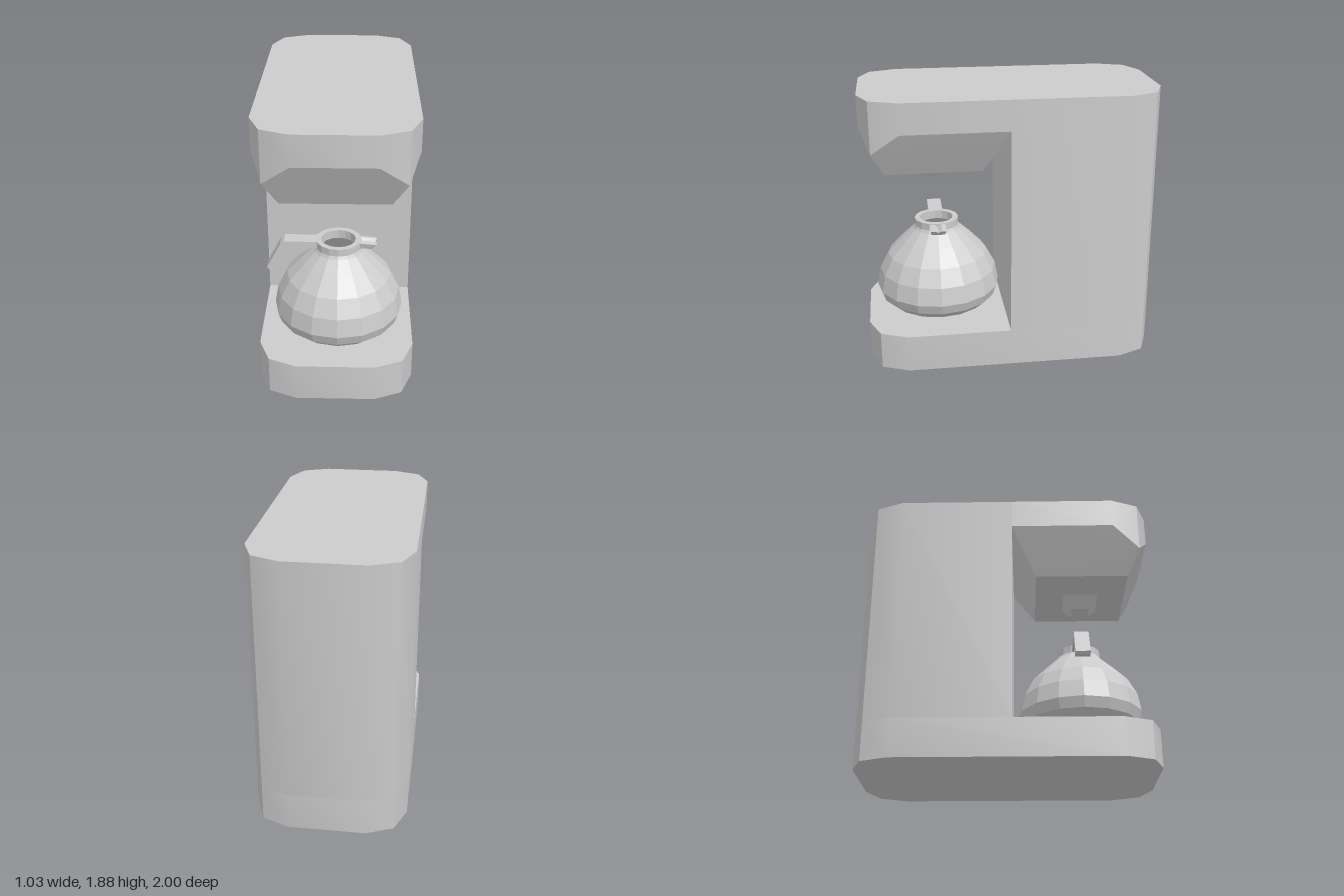
import * as THREE from 'three';
import { toCreasedNormals } from 'three/addons/utils/BufferGeometryUtils.js';
import { ConvexGeometry } from 'three/addons/geometries/ConvexGeometry.js';

const CREASE = 0.45;
const HW = 0.515;      // half width of the body
const COLUMN_Z = 0.035; // front plane of the column

export function createModel() {
  const model = new THREE.Group();
  model.name = 'coffeeMaker';
  const smooth = new THREE.MeshStandardMaterial({ color: 0xcccccc });
  const flat = new THREE.MeshStandardMaterial({ color: 0xcccccc, flatShading: true });
  const add = (parent, name, geometry, material) => {
    const mesh = new THREE.Mesh(geometry, material);
    mesh.name = name;
    parent.add(mesh);
    return mesh;
  };

  // Upright prism from a plan outline of [x, z] points
  const prism = (outline, y0, y1) => {
    const shape = new THREE.Shape(outline.map(([x, z]) => new THREE.Vector2(x, -z)));
    const g = new THREE.ExtrudeGeometry(shape, { depth: y1 - y0, bevelEnabled: false });
    g.rotateX(-Math.PI / 2).translate(0, y0, 0);
    return toCreasedNormals(g, CREASE);
  };
  // Convex solid mirrored in x from right-half points
  const mirroredHull = (points) => new ConvexGeometry(points.flatMap(([x, y, z]) =>
    [new THREE.Vector3(x, y, z), new THREE.Vector3(-x, y, z)]));
  // Rectangular tapered block: [halfWidth, y, zBack, zFront] at top and bottom
  const taper = (...levels) => mirroredHull(levels.flatMap(([x, y, z0, z1]) =>
    [[x, y, z0], [x, y, z1]]));

  // Body: chamfered base and rear column
  const corner = [[HW, 0.74], [0.44, 0.925], [0.26, 1]];
  const frontEnd = [...corner, ...corner.map(([x, z]) => [-x, z]).reverse()];
  const backEnd = frontEnd.map(([x, z]) => [-x, -z]);
  add(model, 'base', prism([...frontEnd, ...backEnd], 0, 0.26), smooth);
  add(model, 'column', prism([[HW, COLUMN_Z], [-HW, COLUMN_Z], ...backEnd], 0.26, 1.885), smooth);

  // Brewing head: chamfered block cut by four sloping planes
  const head = mirroredHull([
    ...[[HW, COLUMN_Z], ...corner].map(([x, z]) => [x, 1.885, z]),
    [HW, 1.68, COLUMN_Z], [HW, 1.68, 0.74], [0.44, 1.537, 0.925], [0.26, 1.68, 1],
    [0.345, 1.37, 0.2], [0.345, 1.37, 0.845],
  ]);
  add(model, 'brewingHead', toCreasedNormals(head, CREASE), smooth);
  add(model, 'headUnderside', taper([0.345, 1.37, 0.2, 0.845], [0.135, 1.34, 0.4, 0.645]), flat);
  add(model, 'nozzle', taper([0.135, 1.34, 0.4, 0.645], [0.065, 1.26, 0.463, 0.582]), flat);

  // Carafe with a hollow inside
  const carafe = new THREE.Group();
  carafe.name = 'carafe';
  carafe.position.set(0.01, 0, 0.5);
  model.add(carafe);
  const profile = [
    [0, 0.27], [0.15, 0.27], [0.345, 0.312], [0.41, 0.37], [0.435, 0.44], [0.412, 0.563],
    [0.35, 0.68], [0.25, 0.785], [0.165, 0.865], [0.153, 0.885], [0.153, 0.935],
    [0.115, 0.935], [0.115, 0.875], [0.22, 0.77], [0.32, 0.665], [0.38, 0.56],
    [0.4, 0.44], [0.375, 0.385], [0.32, 0.335], [0, 0.3],
  ].map(([r, y]) => new THREE.Vector2(r, y));
  add(carafe, 'jug', new THREE.LatheGeometry(profile, 16), flat);

  // Handle: flat bar bending down
  const handleShape = new THREE.Shape([
    [-0.14, 0.935], [-0.36, 0.935], [-0.385, 0.915], [-0.48, 0.735], [-0.465, 0.72],
    [-0.425, 0.72], [-0.345, 0.885], [-0.14, 0.885],
  ].map(([x, y]) => new THREE.Vector2(x, y)));
  const handle = new THREE.ExtrudeGeometry(handleShape, { depth: 0.1, bevelEnabled: false });
  add(carafe, 'handle', handle.translate(0, 0, -0.05), flat);

  // Spout: notched channel, its lip slanting outward
  const spoutShape = new THREE.Shape([
    [-0.055, 0.93], [-0.045, 0.885], [0.045, 0.885], [0.055, 0.93], [0.025, 0.935],
    [0, 0.915], [-0.025, 0.935],
  ].map(([z, y]) => new THREE.Vector2(z, y)));
  const spout = new THREE.ExtrudeGeometry(spoutShape, { depth: 0.1, bevelEnabled: false });
  spout.rotateY(Math.PI / 2).translate(0.13, 0, 0);
  const p = spout.attributes.position;
  for (let i = 0; i < p.count; i++) {
    if (p.getX(i) < 0.2) continue;
    const rise = p.getY(i) - 0.885;
    p.setX(i, 0.225 + rise * 0.6);
    p.setY(i, 0.885 + rise * 0.75);
  }
  add(carafe, 'spout', spout, flat);

  return model;
}
